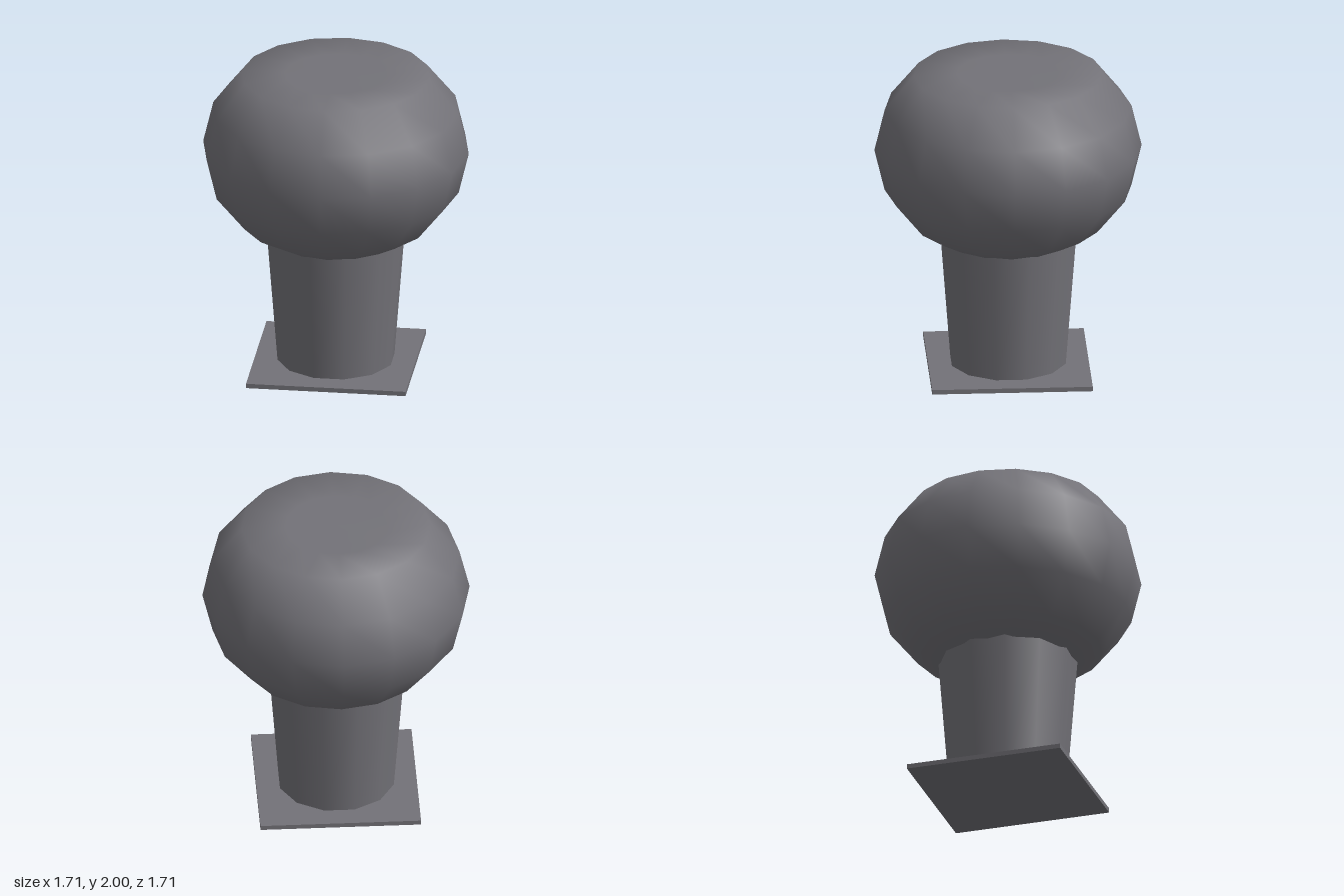
import * as THREE from 'three';

export function createModel() {
  const group = new THREE.Group();
  const grey = new THREE.MeshStandardMaterial({ color: 0x737278 });
  grey.name = 'grey';

  const add = (name, geometry, y) => {
    const mesh = new THREE.Mesh(geometry, grey);
    mesh.name = name;
    mesh.position.y = y;
    group.add(mesh);
    return mesh;
  };

  // Thin square base plate
  add('basePlate', new THREE.BoxGeometry(1.03, 0.03, 1.03), 0.015);

  // Twelve-sided trunk, widening upwards and ending inside the crown
  const trunk = add('trunk', new THREE.CylinderGeometry(0.451, 0.378, 0.94, 12), 0.5);
  trunk.rotation.y = Math.PI / 12;

  // Squashed sphere with its top pressed nearly flat
  const radius = 0.857, squash = 0.833, centre = 1.487;
  const profile = [];
  for (let i = 0; i <= 6; i++) {
    const a = -Math.PI / 2 + (i * Math.PI) / 8;
    profile.push(new THREE.Vector2(i === 0 ? 0 : radius * Math.cos(a), centre + radius * squash * Math.sin(a)));
  }
  profile.push(new THREE.Vector2(0.328, 1.997), new THREE.Vector2(0, 2));
  add('crown', new THREE.LatheGeometry(profile, 16), 0);

  return group;
}
